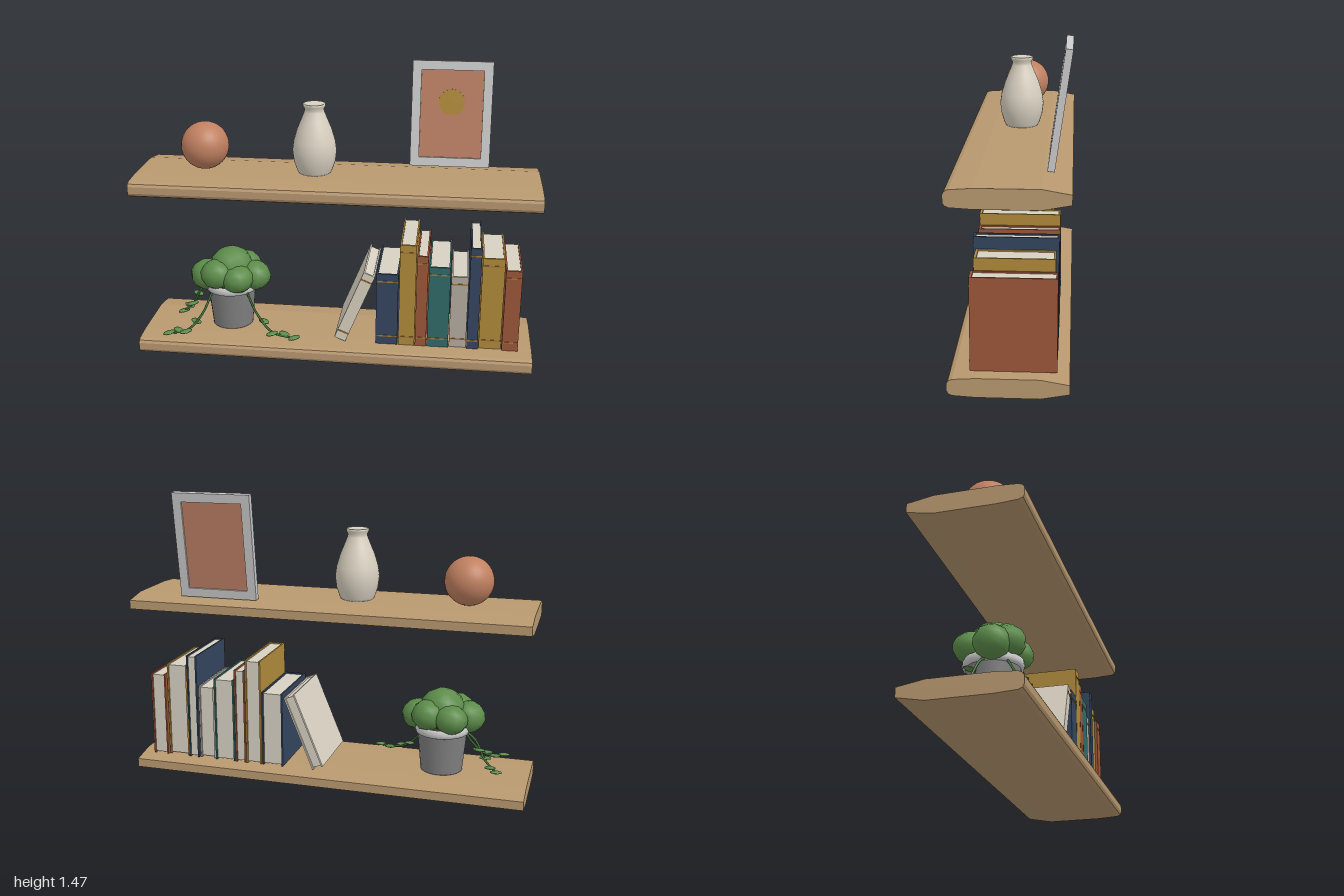
import * as THREE from 'three';

const mat = (color, opts = {}) => new THREE.MeshStandardMaterial({ color, ...opts });
const wood = mat(0xb8986f), clay = mat(0xc08060), cream = mat(0xd8d0c0), paper = mat(0xd6d0c2);
const gold = mat(0xb08a3a), rust = mat(0x9c5638), navy = mat(0x34455f), teal = mat(0x2f6b69);
const grey = mat(0xb4aca0), band = mat(0xa87838), silver = mat(0xcfcfcb), print = mat(0xbd8064);
const potGrey = mat(0x808080), rimWhite = mat(0xe0e0e0), soil = mat(0x4a3524);
const leafGreen = mat(0x5c8c4a, { flatShading: false }), vineGreen = mat(0x3f7038);

function add(parent, name, geometry, material, x = 0, y = 0, z = 0) {
  const mesh = new THREE.Mesh(geometry, material);
  mesh.name = name;
  mesh.position.set(x, y, z);
  parent.add(mesh);
  return mesh;
}

function group(parent, name, x = 0, y = 0, z = 0) {
  const g = new THREE.Group();
  g.name = name;
  g.position.set(x, y, z);
  parent.add(g);
  return g;
}

const lathe = (pts, n) => new THREE.LatheGeometry(pts.map(([r, y]) => new THREE.Vector2(r, y)), n);

// Plank: rounded front edge, tapered back edge, swept along x
function shelfGeometry() {
  const top = [[0.265, 0.062], [0.258, 0.075], [0.24, 0.083], [0.14, 0.09], [-0.14, 0.09], [-0.265, 0.068]];
  const bottom = [[-0.265, 0.024], [-0.14, 0], [0.14, 0], [0.24, 0.006], [0.258, 0.014], [0.265, 0.028]];
  const shape = new THREE.Shape([...top, ...bottom].map(([z, y]) => new THREE.Vector2(-z, y)));
  const g = new THREE.ExtrudeGeometry(shape, { depth: 2, bevelEnabled: false });
  return g.translate(0, 0, -1).rotateY(Math.PI / 2);
}

// Book: two covers and a spine wrapped around an inset page block; origin at its bottom left
function addBook(parent, name, x, width, height, material, depth = 0.38) {
  const b = group(parent, name, x, 0.09, -0.02);
  const t = 0.008, half = depth / 2;
  for (const cx of [t / 2, width - t / 2])
    add(b, 'cover', new THREE.BoxGeometry(t, height, depth), material, cx, height / 2, 0);
  add(b, 'spine', new THREE.BoxGeometry(width - 2 * t, height, 0.012), material, width / 2, height / 2, half - 0.006);
  add(b, 'pages', new THREE.BoxGeometry(width - 2 * t, height - 0.014, depth - 0.02), paper, width / 2, height / 2, -0.002);
  for (const y of [0.045, height - 0.04])
    add(b, 'spineBand', new THREE.BoxGeometry(width, 0.007, 0.004), band, width / 2, y, half + 0.0005);
  return b;
}

function addPictureFrame(parent) {
  const f = group(parent, 'pictureFrame', 0.55, 0.944, -0.155);
  f.rotation.x = -0.137;
  const w = 0.2, h = 0.53, m = 0.045;
  const rect = (P, x, y0, y1) => new P([[-x, y0], [x, y0], [x, y1], [-x, y1]].map(p => new THREE.Vector2(...p)));
  const border = rect(THREE.Shape, w, 0, h);
  border.holes.push(rect(THREE.Path, w - m, m, h - m));
  const g = new THREE.ExtrudeGeometry(border, { depth: 0.032, bevelEnabled: false }).translate(0, 0, -0.032);
  add(f, 'frameBorder', g, silver);
  add(f, 'picturePanel', new THREE.BoxGeometry(2 * (w - m), h - 2 * m, 0.01), print, 0, h / 2, -0.018);
  const disc = new THREE.CylinderGeometry(0.065, 0.065, 0.006, 24).rotateX(Math.PI / 2);
  add(f, 'pictureDisc', disc, gold, 0, 0.325, -0.012);
}

function addPlant(parent) {
  const p = group(parent, 'pottedPlant', -0.56, 0.09, 0);
  add(p, 'pot', lathe([[0, 0], [0.105, 0], [0.105, 0.002], [0.124, 0.2]], 24), potGrey);
  add(p, 'potRim', lathe([[0.122, 0.195], [0.134, 0.2], [0.138, 0.215], [0.136, 0.235], [0.126, 0.24], [0.116, 0.235], [0.112, 0.2]], 24), rimWhite);
  add(p, 'soil', new THREE.CylinderGeometry(0.116, 0.112, 0.02, 24), soil, 0, 0.205, 0);

  // Foliage clumps: x, y, z, radius, vertical squash
  const clumps = [
    [0, 0.315, 0, 0.115, 0.92], [-0.125, 0.275, 0.03, 0.085, 0.95], [0.125, 0.275, 0.01, 0.085, 0.9],
    [0.05, 0.28, 0.085, 0.085, 0.85], [-0.055, 0.29, -0.085, 0.085, 0.85], [0.06, 0.3, -0.07, 0.085, 0.9],
    [-0.06, 0.3, 0.08, 0.085, 0.9],
  ];
  clumps.forEach(([x, y, z, r, s], i) => {
    const leaf = add(p, 'foliage', new THREE.SphereGeometry(r, 10, 7), leafGreen, x, y, z);
    leaf.scale.y = s;
    leaf.rotation.set(0.2 * Math.sin(i * 2), i * 1.3, 0.2 * Math.cos(i * 3));
  });

  // Trailing vines with flat oval leaves along them
  const vines = [
    [[-0.1, 0.22, 0], [-0.17, 0.17, -0.01], [-0.22, 0.08, -0.03], [-0.28, 0.018, -0.04]],
    [[-0.08, 0.22, 0.08], [-0.13, 0.1, 0.15], [-0.2, 0.025, 0.19], [-0.29, 0.016, 0.22]],
    [[0.09, 0.22, 0.08], [0.15, 0.11, 0.12], [0.24, 0.03, 0.17], [0.36, 0.016, 0.2]],
  ];
  const leafGeometry = new THREE.SphereGeometry(1, 8, 5).scale(0.034, 0.007, 0.022);
  for (const pts of vines) {
    const curve = new THREE.CatmullRomCurve3(pts.map(q => new THREE.Vector3(...q)));
    add(p, 'vine', new THREE.TubeGeometry(curve, 16, 0.006, 6), vineGreen);
    [0.5, 0.68, 0.85, 1].forEach((t, i) => {
      const c = curve.getPoint(t), side = i % 2 ? 1 : -1;
      const leaf = add(p, 'vineLeaf', leafGeometry, leafGreen, c.x, c.y + 0.003, c.z + (t < 1 ? side * 0.02 : 0));
      leaf.rotation.set(0, side * 0.6, side * 0.12);
    });
  }
}

export function createModel() {
  const model = new THREE.Group();
  model.name = 'decoratedShelves';

  const plank = shelfGeometry();
  add(model, 'lowerShelf', plank, wood);
  add(model, 'upperShelf', plank, wood, 0, 0.85, 0);

  // Upper shelf ornaments
  add(model, 'ball', new THREE.SphereGeometry(0.12, 32, 20), clay, -0.67, 1.06, 0);
  const vase = [[0, 0], [0.08, 0], [0.087, 0.012], [0.103, 0.06], [0.11, 0.115], [0.103, 0.165], [0.085, 0.225],
    [0.066, 0.27], [0.05, 0.31], [0.047, 0.325], [0.056, 0.34], [0.056, 0.35], [0.05, 0.352], [0.048, 0.349], [0, 0.349]];
  add(model, 'vase', lathe(vase, 32), cream, -0.115, 0.94, 0);
  addPictureFrame(model);

  // Lower shelf: plant and row of books
  addPlant(model);
  const books = group(model, 'books');
  const row = [
    ['navyBook', 0.215, 0.11, 0.385, navy, 0.38], ['goldBook', 0.33, 0.082, 0.545, gold, 0.38],
    ['rustBook', 0.415, 0.056, 0.49, rust, 0.38], ['tealBook', 0.475, 0.107, 0.435, teal, 0.38],
    ['greyBook', 0.586, 0.085, 0.385, grey, 0.36], ['tallNavyBook', 0.675, 0.055, 0.545, navy, 0.38],
    ['wideGoldBook', 0.735, 0.11, 0.49, gold, 0.355], ['endRustBook', 0.85, 0.08, 0.435, rust, 0.38],
  ];
  for (const [name, x, w, h, m, d] of row) addBook(books, name, x, w, h, m, d);
  const leaning = addBook(books, 'leaningBook', 0.004, 0.06, 0.394, cream);
  leaning.position.y = 0.113;
  leaning.rotation.z = -0.385;
  return model;
}
